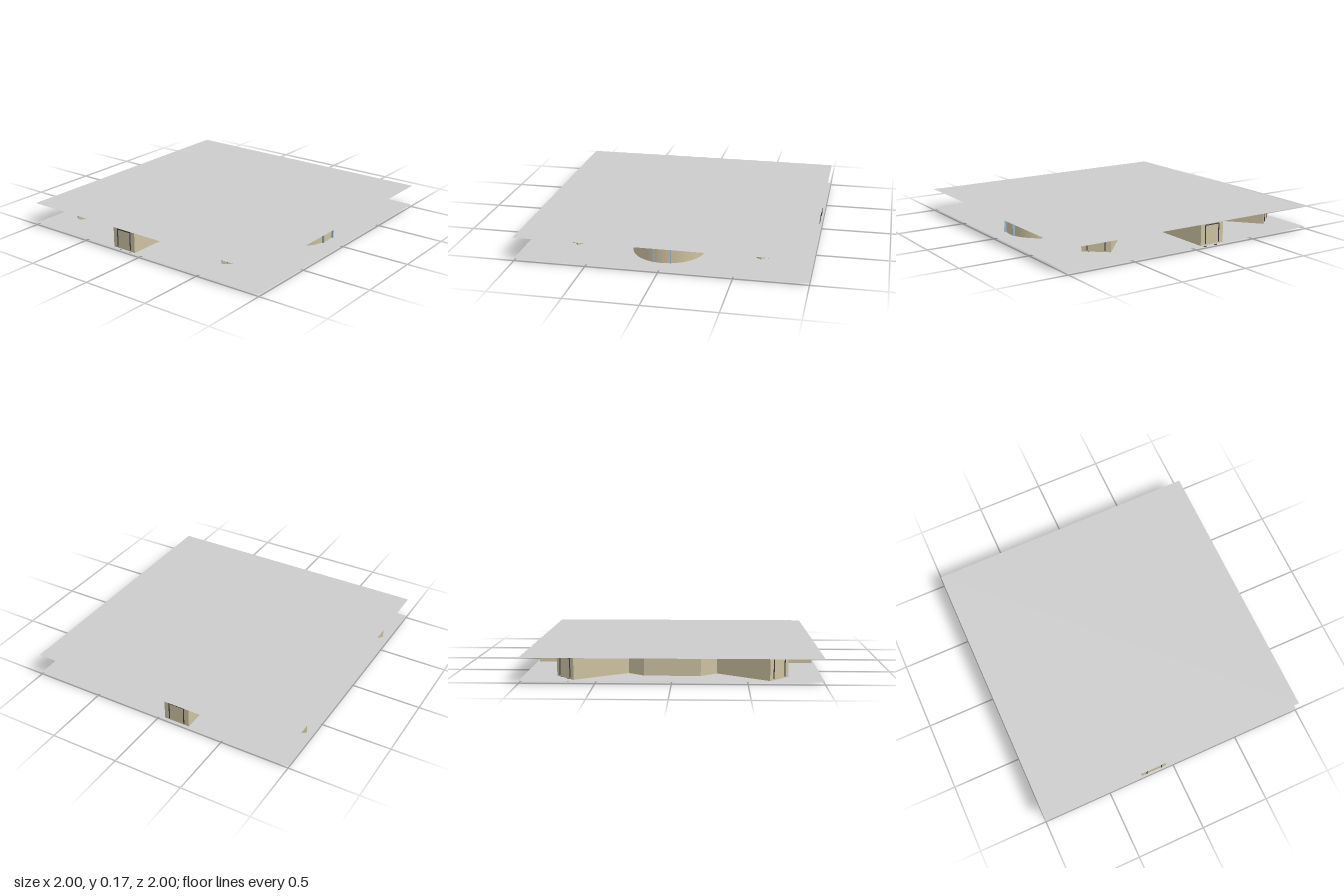
import * as THREE from 'three';

const FLOOR = 0.016, TOP = 0.168, H = TOP - FLOOR, MID = (TOP + FLOOR) / 2;
const mat = (color) => new THREE.MeshStandardMaterial({ color, side: THREE.DoubleSide });

export function createModel() {
  const model = new THREE.Group();
  const grey = mat(0xcccccc), tan = mat(0xcdc2a0), dark = mat(0x3a3d45);
  const navy = mat(0x3c4a72), blue = mat(0x8fb8cc);

  const add = (name, geometry, material, x, y, z, ry = 0, parent = model) => {
    const mesh = new THREE.Mesh(geometry, material);
    mesh.name = name;
    mesh.position.set(x, y, z);
    mesh.rotation.y = ry;
    parent.add(mesh);
    return mesh;
  };

  // Floor and ceiling sheets
  const sheet = new THREE.PlaneGeometry(2, 2).rotateX(-Math.PI / 2);
  add('floor', sheet, grey, 0, FLOOR, 0);
  add('ceiling', sheet, grey, 0, TOP, 0);

  // Wall outline of the +x half, from the round front room to the back
  const half = [
    [0.205, 0.482], [0.3, 0.4], [0.645, 0.685], [0.775, 0.535], [0.43, 0.22],
    [0.53, 0.12], [0.53, -0.05], [0.985, -0.05], [0.985, -0.24], [0.53, -0.24],
    [0.53, -0.41], [0.43, -0.51], [0.775, -0.8], [0.645, -0.955], [0.3, -0.69], [0.19, -0.785],
  ];
  const outline = [...half, ...half.map(([x, z]) => [-x, z]).reverse()];
  const walls = new THREE.Group();
  walls.name = 'walls';
  model.add(walls);
  for (let i = 0; i < outline.length - 1; i++) {
    const [ax, az] = outline[i], [bx, bz] = outline[i + 1];
    const length = Math.hypot(bx - ax, bz - az);
    add('wall', new THREE.PlaneGeometry(length, H), tan,
      (ax + bx) / 2, MID, (az + bz) / 2, Math.atan2(az - bz, bx - ax), walls);
  }

  // Round front room
  const sweep = THREE.MathUtils.degToRad(125);
  add('roundRoomWall', new THREE.CylinderGeometry(0.25, 0.25, H, 40, 1, true, -sweep, 2 * sweep),
    tan, 0, MID, 0.625);

  // Front entrance: narrow posts and a blue header
  add('entranceHeader', new THREE.BoxGeometry(0.125, 0.014, 0.025), blue, 0, 0.134, 0.885);
  for (const s of [-1, 1]) {
    add('entrancePost', new THREE.BoxGeometry(0.004, 0.14, 0.02), blue, s * 0.06, 0.088, 0.873);
  }

  // Door frames at the six corridor ends
  const doorFrame = (x, z, ry, width) => {
    const frame = new THREE.Group();
    frame.name = 'doorFrame';
    frame.position.set(x, 0, z);
    frame.rotation.y = ry;
    for (const s of [-1, 1]) {
      add('jamb', new THREE.BoxGeometry(0.006, 0.13, 0.008), dark, s * width / 2, 0.09, 0, 0, frame);
    }
    add('lintel', new THREE.BoxGeometry(width, 0.006, 0.008), dark, 0, 0.155, 0, 0, frame);
    model.add(frame);
  };
  for (const i of [2, 7, 12]) {
    const [ax, az] = half[i], [bx, bz] = half[i + 1];
    const ry = Math.atan2(az - bz, bx - ax), width = Math.hypot(bx - ax, bz - az) * 0.6;
    for (const s of [-1, 1]) doorFrame(s * (ax + bx) / 2, (az + bz) / 2, s * ry, width);
  }

  // Pairs of rails under the corridors: inner x, z to outer x, z
  const rails = [
    [0.24, -0.1, 0.98, -0.1], [0.24, -0.19, 0.98, -0.19],
    [0.2, 0.11, 0.745, 0.575], [0.13, 0.185, 0.69, 0.655],
    [0.2, -0.395, 0.745, -0.845], [0.12, -0.47, 0.69, -0.92],
  ];
  for (const [ax, az, bx, bz] of rails) {
    const geometry = new THREE.BoxGeometry(Math.hypot(bx - ax, bz - az), FLOOR, 0.01);
    const ry = Math.atan2(az - bz, bx - ax);
    for (const s of [-1, 1]) {
      add('floorRail', geometry, navy, s * (ax + bx) / 2, FLOOR / 2, (az + bz) / 2, s * ry);
    }
  }
  return model;
}
